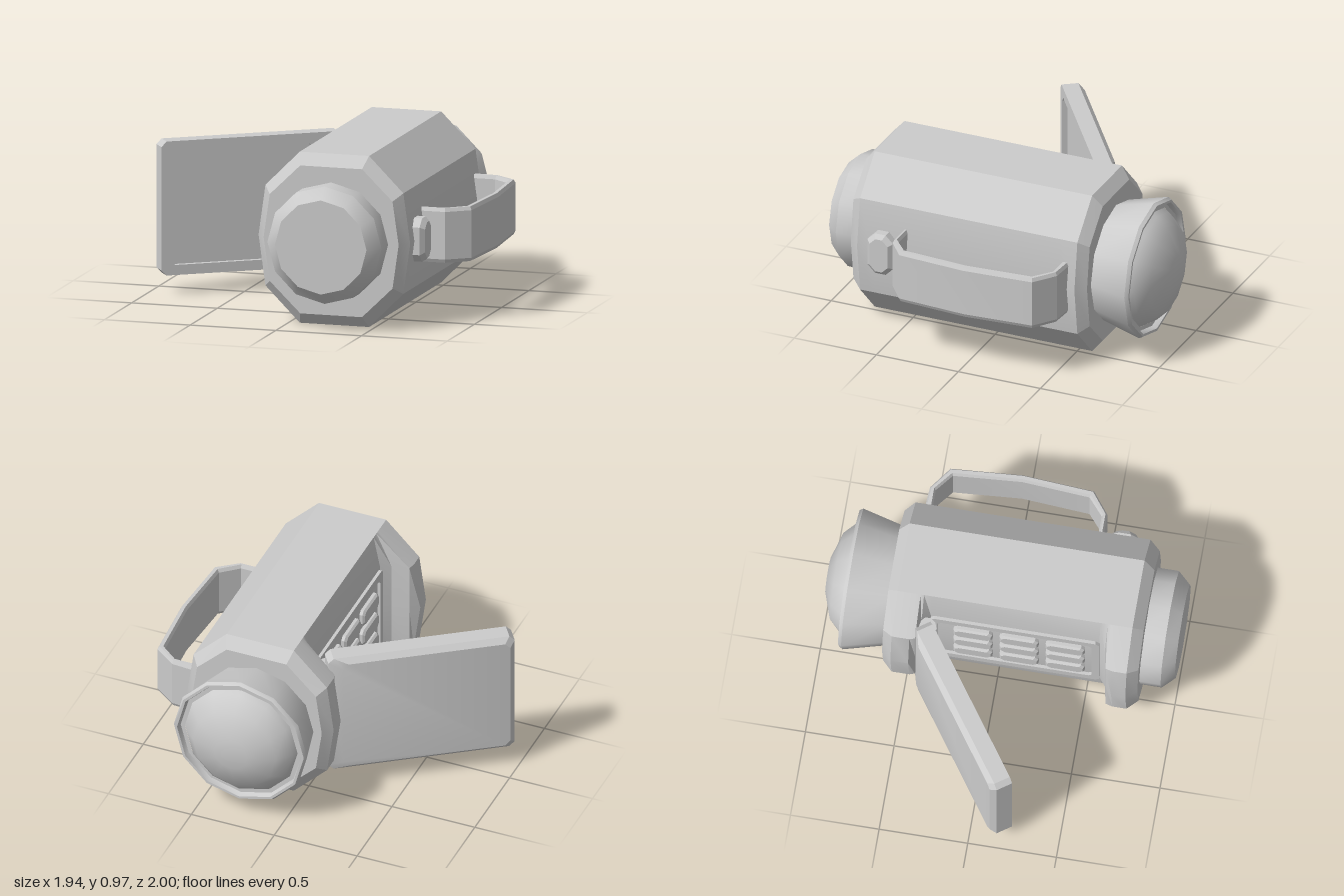
import * as THREE from 'three';
import { toCreasedNormals } from 'three/addons/utils/BufferGeometryUtils.js';

const CX = 0.262, CY = 0.486; // axis of the barrel
const material = new THREE.MeshStandardMaterial({ color: 0xcccccc });

function add(parent, name, geometry, crease = 0.4) {
  const mesh = new THREE.Mesh(toCreasedNormals(geometry, crease), material);
  mesh.name = name;
  parent.add(mesh);
  return mesh;
}

// Capped skin over sections { z, pts }, each counter-clockwise seen from +z
function loft(sections) {
  const n = sections[0].pts.length, pos = [], index = [];
  for (const { z, pts } of sections) for (const [x, y] of pts) pos.push(x, y, z);
  for (let i = 0; i < sections.length - 1; i++) {
    for (let j = 0; j < n; j++) {
      const k = (j + 1) % n, a = i * n, b = a + n;
      index.push(a + j, a + k, b + k, a + j, b + k, b + j);
    }
  }
  const last = (sections.length - 1) * n;
  for (let j = 1; j < n - 1; j++) {
    index.push(0, j + 1, j, last, last + j, last + j + 1);
  }
  const geo = new THREE.BufferGeometry();
  geo.setAttribute('position', new THREE.Float32BufferAttribute(pos, 3));
  geo.setIndex(index);
  return geo;
}

// Rectangle with cut corners
function cutRect(x0, y0, x1, y1, c) {
  return [[x0 + c, y0], [x1 - c, y0], [x1, y0 + c], [x1, y1 - c],
    [x1 - c, y1], [x0 + c, y1], [x0, y1 - c], [x0, y0 + c]];
}

const toShape = (pts) => new THREE.Shape(pts.map(([x, y]) => new THREE.Vector2(x, y)));

function frameShape(outer, inner) {
  const shape = toShape(outer);
  shape.holes.push(toShape(inner));
  return shape;
}

// Ring profile [radius, z] turned around the barrel axis
function turned(profile) {
  const geo = new THREE.LatheGeometry(profile.map(([r, z]) => new THREE.Vector2(r, z)), 12);
  return geo.rotateX(Math.PI / 2).translate(CX, CY, 0);
}

export function createModel() {
  const model = new THREE.Group();
  model.name = 'camcorder';

  // Body: ten-sided tube, its side cut back between the two end collars
  const outline = [[0.06, 0.97], [-0.14, 0.77], [-0.18, CY], [-0.14, 0.2], [0.06, 0],
    [0.465, 0], [0.665, 0.2], [0.705, CY], [0.665, 0.77], [0.465, 0.97]];
  const section = (z, minX = -1, s = 1) => ({
    z,
    pts: outline.map(([x, y]) => [Math.max(CX + (x - CX) * (s < 1 ? 0.89 : 1), minX), CY + (y - CY) * s]),
  });
  add(model, 'body', loft([
    section(-0.63, -1, 0.865), section(-0.575), section(-0.475),
    section(-0.445, -0.13), section(-0.425, -0.03), section(-0.38, 0.02),
    section(0.57, 0.02), section(0.61, -0.03), section(0.63, -0.13),
    section(0.67), section(0.75), section(0.81, -1, 0.865),
  ]));

  // Lens barrel at the front
  add(model, 'lensBarrel', turned([[0.333, 0.75], [0.333, 0.93], [0.267, 1], [0, 1]]), 0.6);

  // Flared eyepiece with domed glass at the back
  add(model, 'eyepiece', turned([[0.34, -0.85], [0.365, -0.85], [0.375, -0.88],
    [0.39, -0.88], [0.402, -0.86], [0.335, -0.6]]), 0.6);
  add(model, 'eyepieceGlass', turned([[0, -1], [0.1, -1], [0.25, -0.95],
    [0.32, -0.88], [0.345, -0.84]]), 0.7);

  // Control panel in the cut-back side
  const panel = new THREE.Group();
  panel.name = 'controlPanel';
  panel.rotation.y = -Math.PI / 2; // local x runs along z, local z faces -x
  panel.position.set(0.02, 0, 0);
  model.add(panel);
  add(panel, 'panelFrame', new THREE.ExtrudeGeometry(
    frameShape(cutRect(-0.38, 0.2, 0.57, 0.77, 0.02), cutRect(-0.34, 0.25, 0.53, 0.72, 0.02)),
    { depth: 0.018, bevelEnabled: false }));
  for (const x of [-0.14, 0.12, 0.38]) {
    for (const y of [0.35, 0.485, 0.62]) {
      add(panel, 'panelButton', loft([
        { z: 0, pts: cutRect(x - 0.11, y - 0.05, x + 0.11, y + 0.05, 0.02) },
        { z: 0.018, pts: cutRect(x - 0.11, y - 0.05, x + 0.11, y + 0.05, 0.02) },
        { z: 0.03, pts: cutRect(x - 0.1, y - 0.04, x + 0.1, y + 0.04, 0.02) },
      ]));
    }
  }

  // Swung-out screen, origin at its free front edge
  const screen = new THREE.Group();
  screen.name = 'screen';
  screen.position.set(-0.91, 0, 0.235);
  screen.rotation.y = 0.611;
  model.add(screen);
  const edge = cutRect(0, 0.108, 1.06, 0.868, 0.03);
  add(screen, 'screenBack', loft([
    { z: -0.125, pts: cutRect(0.03, 0.138, 0.98, 0.838, 0.03) },
    { z: -0.095, pts: edge },
    { z: -0.03, pts: edge },
  ]));
  add(screen, 'screenRim', new THREE.ExtrudeGeometry(
    frameShape(edge, cutRect(0.05, 0.165, 0.89, 0.808, 0.03)),
    { depth: 0.03, bevelEnabled: false }).translate(0, 0, -0.03));

  // Hinge post between screen and body
  add(model, 'screenHinge',
    new THREE.CylinderGeometry(0.06, 0.06, 0.6, 10).translate(-0.06, CY, -0.395), 0.7);

  // Hand strap, drawn from above as (x, -z)
  const strap = toShape([[0.68, 0.52], [0.815, 0.51], [0.937, 0.42], [0.965, 0.02],
    [0.937, -0.38], [0.82, -0.47], [0.68, -0.47], [0.68, -0.46], [0.812, -0.46],
    [0.917, -0.37], [0.945, 0.02], [0.917, 0.41], [0.812, 0.495], [0.68, 0.495]]);
  add(model, 'handStrap', new THREE.ExtrudeGeometry(strap, {
    depth: 0.27, bevelThickness: 0.02, bevelSize: 0.01, bevelSegments: 1,
  }).rotateX(-Math.PI / 2).translate(0, 0.352, 0));

  // Record button beside the strap
  const button = add(model, 'recordButton', loft([
    { z: 0, pts: cutRect(-0.078, -0.123, 0.078, 0.123, 0.045) },
    { z: 0.05, pts: cutRect(-0.078, -0.123, 0.078, 0.123, 0.045) },
    { z: 0.075, pts: cutRect(-0.055, -0.1, 0.055, 0.1, 0.035) },
  ]));
  button.rotation.y = Math.PI / 2;
  button.position.set(0.685, CY, 0.595);

  return model;
}
